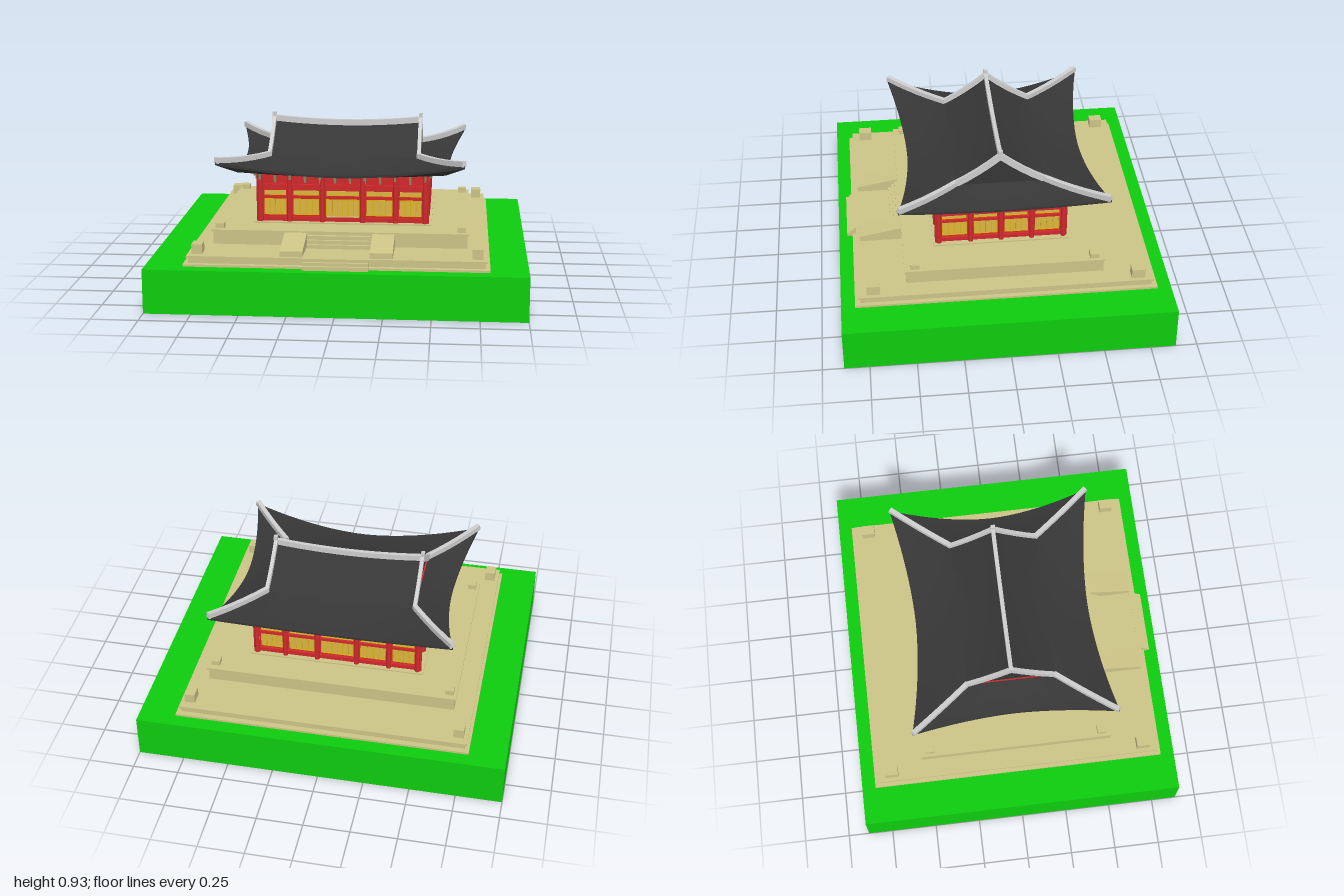
import * as THREE from 'three';

const mat = (name, color, side = THREE.FrontSide) => {
  const m = new THREE.MeshStandardMaterial({ color, side });
  m.name = name;
  return m;
};

export function createModel() {
  const root = new THREE.Group();
  root.name = 'palaceHall';
  const green = mat('grass green', 0x0ecc0e);
  const stone = mat('pale stone', 0xcbc386);
  const red = mat('painted red', 0xd0282c);
  const yellow = mat('window paper', 0xd9b540);
  const gold = mat('window frame gold', 0xdcb00c);
  const black = mat('roof tile', 0x363636, THREE.DoubleSide);
  const white = mat('plaster white', 0xcdcdcd, THREE.DoubleSide);
  const olive = mat('bracket olive', 0x85855c);

  const add = (geo, m, name, parent = root) => {
    const mesh = new THREE.Mesh(geo, m);
    mesh.name = name;
    parent.add(mesh);
    return mesh;
  };
  // box given by its limits
  const box = (name, m, x0, x1, y0, y1, z0, z1, parent = root) => {
    const b = add(new THREE.BoxGeometry(x1 - x0, y1 - y0, z1 - z0), m, name, parent);
    b.position.set((x0 + x1) / 2, (y0 + y1) / 2, (z0 + z1) / 2);
    return b;
  };
  const slab = (name, m, x, z, y0, y1) => box(name, m, -x, x, y0, y1, -z, z);
  // square bar running from a to b
  const bar = (name, a, b, w, h) => {
    const mesh = add(new THREE.BoxGeometry(w, h, a.distanceTo(b) + w * 0.3), white, name);
    mesh.position.copy(a).add(b).multiplyScalar(0.5);
    mesh.lookAt(b);
  };
  // surface from a rule fn(u in -1..1, t in 0..1) => [x, y, z]
  const surface = (name, m, fn, nu, nt) => {
    const pos = [], idx = [];
    for (let j = 0; j <= nt; j++)
      for (let i = 0; i <= nu; i++) pos.push(...fn((2 * i) / nu - 1, j / nt));
    for (let j = 0; j < nt; j++)
      for (let i = 0; i < nu; i++) {
        const a = j * (nu + 1) + i, b = a + nu + 1;
        idx.push(a, b, a + 1, b, b + 1, a + 1);
      }
    const g = new THREE.BufferGeometry();
    g.setAttribute('position', new THREE.Float32BufferAttribute(pos, 3));
    g.setIndex(idx);
    g.computeVertexNormals();
    add(g, m, name);
  };
  const mix = THREE.MathUtils.lerp;
  const V = (x, y, z) => new THREE.Vector3(x, y, z);

  // ground and stone terraces
  slab('ground', green, 1, 0.885, 0, 0.238);
  slab('lowerTerraceFoot', stone, 0.8, 0.81, 0.238, 0.25);
  slab('lowerTerrace', stone, 0.775, 0.78, 0.25, 0.28);
  slab('lowerTerraceCap', stone, 0.785, 0.79, 0.28, 0.29);
  slab('upperTerrace', stone, 0.682, 0.532, 0.29, 0.36);
  slab('upperTerraceCap', stone, 0.69, 0.54, 0.36, 0.37);
  slab('plinth', stone, 0.485, 0.372, 0.37, 0.377);
  for (const sx of [-1, 1])
    for (const sz of [-1, 1]) {
      const x = sx * 0.735, z = sz * 0.71, x2 = sx * 0.65, z2 = sz * 0.483;
      box('lowerCornerBlock', stone, x - 0.028, x + 0.028, 0.29, 0.342, z - 0.036, z + 0.036);
      box('upperCornerBlock', stone, x2 - 0.023, x2 + 0.023, 0.37, 0.397, z2 - 0.024, z2 + 0.024);
    }

  // front stairs and their sloping cheeks
  for (let i = 0; i < 3; i++) {
    box('upperStep', stone, -0.172, 0.172, 0.29, 0.35 - i * 0.02, 0.53, 0.558 + i * 0.018);
    box('lowerStep', stone, -0.172, 0.172, 0.238, 0.291 - i * 0.016, 0.77, 0.802 + i * 0.019);
  }
  const cheek = new THREE.Shape([[-0.53, 0.29], [-0.53, 0.364], [-0.77, 0.32], [-0.77, 0.29]]
    .map(([x, y]) => new THREE.Vector2(x, y)).reverse());
  for (const x of [-0.175, 0.295]) {
    const c = add(new THREE.ExtrudeGeometry(cheek, { depth: 0.12, bevelEnabled: false }), stone, 'stairCheek');
    c.rotation.y = Math.PI / 2;
    c.position.x = x - 0.12;
  }

  // walls: one facade per side, built facing +z and turned
  slab('wallCore', red, 0.44, 0.33, 0.37, 0.645);
  const facade = (turn, posts, depth, door) => {
    const f = new THREE.Group();
    f.name = 'facade';
    f.rotation.y = turn;
    root.add(f);
    const end = posts[posts.length - 1];
    for (const [y0, y1, out] of [[0.377, 0.4, 0.004], [0.503, 0.519, 0.005], [0.55, 0.582, 0.008], [0.63, 0.648, 0.012]])
      box('beam', red, -end, end, y0, y1, depth - 0.015, depth + out, f);
    posts.forEach((x, i) => {
      const c = add(new THREE.CylinderGeometry(0.014, 0.014, 0.27, 12), red, 'column', f);
      c.position.set(x, 0.51, depth + 0.008);
      if (i === 0) return;
      const a = posts[i - 1] + 0.021, b = x - 0.021, isDoor = i === door;
      const bottom = isDoor ? 0.378 : 0.41, z = depth - 0.008;
      box('window', yellow, a, b, bottom, 0.5, depth - 0.012, z, f);
      box('transom', yellow, a, b, 0.52, 0.546, depth - 0.012, z, f);
      if (isDoor) box('doorPanel', stone, a, b, 0.378, 0.405, z, z + 0.006, f);
      const n = Math.round((b - a) / 0.031);
      for (let k = 0; k <= n; k++) {
        const p = mix(a, b, k / n);
        box('windowBar', gold, p - 0.002, p + 0.002, isDoor ? 0.405 : bottom, 0.5, z, z + 0.003, f);
      }
      for (const y of [bottom + 0.002, 0.498, 0.522])
        box('windowRail', gold, a, b, y - 0.002, y + 0.002, z, z + 0.003, f);
    });
    // stepped brackets under the eaves
    const n = Math.round((2 * end) / 0.085);
    for (let k = 0; k <= n; k++) {
      const p = mix(-end, end, k / n);
      for (let s = 0; s < 3; s++)
        box('bracket', olive, p - 0.006, p + 0.006, 0.592 + s * 0.019, 0.611 + s * 0.019, depth - 0.01, depth + 0.013 + s * 0.012, f);
    }
  };
  const longPosts = [-0.45, -0.29, -0.11, 0.11, 0.29, 0.45];
  const shortPosts = [-0.34, -0.167, 0, 0.167, 0.34];
  facade(0, longPosts, 0.34, 3);
  facade(Math.PI, longPosts, 0.34, 0);
  facade(Math.PI / 2, shortPosts, 0.45, 0);
  facade(-Math.PI / 2, shortPosts, 0.45, 0);

  // roof rules: ridge sags, eaves sweep out and up towards the corners
  const sweep = (u) => Math.pow(Math.abs(u), 1.8);
  const ridgeY = (u) => 0.858 + 0.022 * u * u;
  const sag = (t) => 0.04 * t * (1 - t);
  const lowerY = (u, t) => mix(0.718, 0.662 + 0.08 * sweep(u), t) - sag(t);
  const longEave = (u) => [0.66 * u, 0.48 + 0.08 * sweep(u)];
  const sideEave = (u) => [0.58 + 0.08 * sweep(u), 0.56 * u];
  for (const s of [-1, 1]) {
    surface('mainRoofUpper', black, (u, t) =>
      [0.41 * u, mix(ridgeY(u), 0.718, t) - sag(t), s * 0.24 * t], 16, 6);
    surface('mainRoofLower', black, (u, t) => {
      const [x, z] = longEave(u);
      return [mix(0.41 * u, x, t), lowerY(u, t), s * mix(0.24, z, t)];
    }, 20, 6);
    surface('sideRoof', black, (u, t) => {
      const [x, z] = sideEave(u);
      return [s * mix(0.41, x, t), lowerY(u, t), mix(0.24 * u, z, t)];
    }, 20, 6);
    surface('gable', black, (u, t) => {
      const h = mix(ridgeY(1), 0.718, Math.abs(u)) - sag(Math.abs(u));
      return [s * 0.4, mix(0.71, h, t), 0.24 * u];
    }, 12, 1);

    // eave edges, dark outer soffit and plastered inner soffit
    const edges = [
      [longEave, (u) => [0.56 * u, 0.43 + 0.03 * sweep(u)], (u) => [0.45 * u, 0.34], (x, y, z) => [x, y, s * z]],
      [sideEave, (u) => [0.53 + 0.03 * sweep(u), 0.46 * u], (u) => [0.45, 0.34 * u], (x, y, z) => [s * x, y, z]],
    ];
    for (const [outer, middle, inner, place] of edges) {
      const band = (name, m, p, py, q, qy) => surface(name, m, (u, t) => {
        const a = p(u), b = q(u), k = sweep(u);
        return place(mix(a[0], b[0], t), mix(py(k), qy(k), t), mix(a[1], b[1], t));
      }, 20, 1);
      const top = (k) => 0.662 + 0.08 * k, low = (k) => 0.65 + 0.078 * k;
      const mid = (k) => 0.644 + 0.026 * k;
      band('eaveEdge', black, outer, top, outer, low);
      band('outerSoffit', black, outer, low, middle, mid);
      band('innerSoffit', white, middle, mid, inner, () => 0.642);
    }
  }

  // plaster ridges: top ridge, gable edges and hips
  const chain = (name, fn, n, w, h) => {
    for (let i = 0; i < n; i++) bar(name, fn(i / n), fn((i + 1) / n), w, h);
  };
  chain('topRidge', (t) => V(0.41 * (2 * t - 1), ridgeY(2 * t - 1) + 0.011, 0), 12, 0.022, 0.032);
  for (const sx of [-1, 1]) {
    box('ridgeEnd', white, sx * 0.412 - 0.01, sx * 0.412 + 0.01, 0.87, 0.925, -0.012, 0.012);
    for (const sz of [-1, 1]) {
      chain('gableRidge', (t) =>
        V(sx * 0.41, mix(ridgeY(1), 0.718, t) - sag(t) + 0.01, sz * 0.24 * t), 4, 0.02, 0.034);
      chain('hipRidge', (t) =>
        V(sx * mix(0.41, 0.655, t), lowerY(1, t) + 0.01, sz * mix(0.24, 0.553, t)), 5, 0.026, 0.032);
    }
  }
  return root;
}
